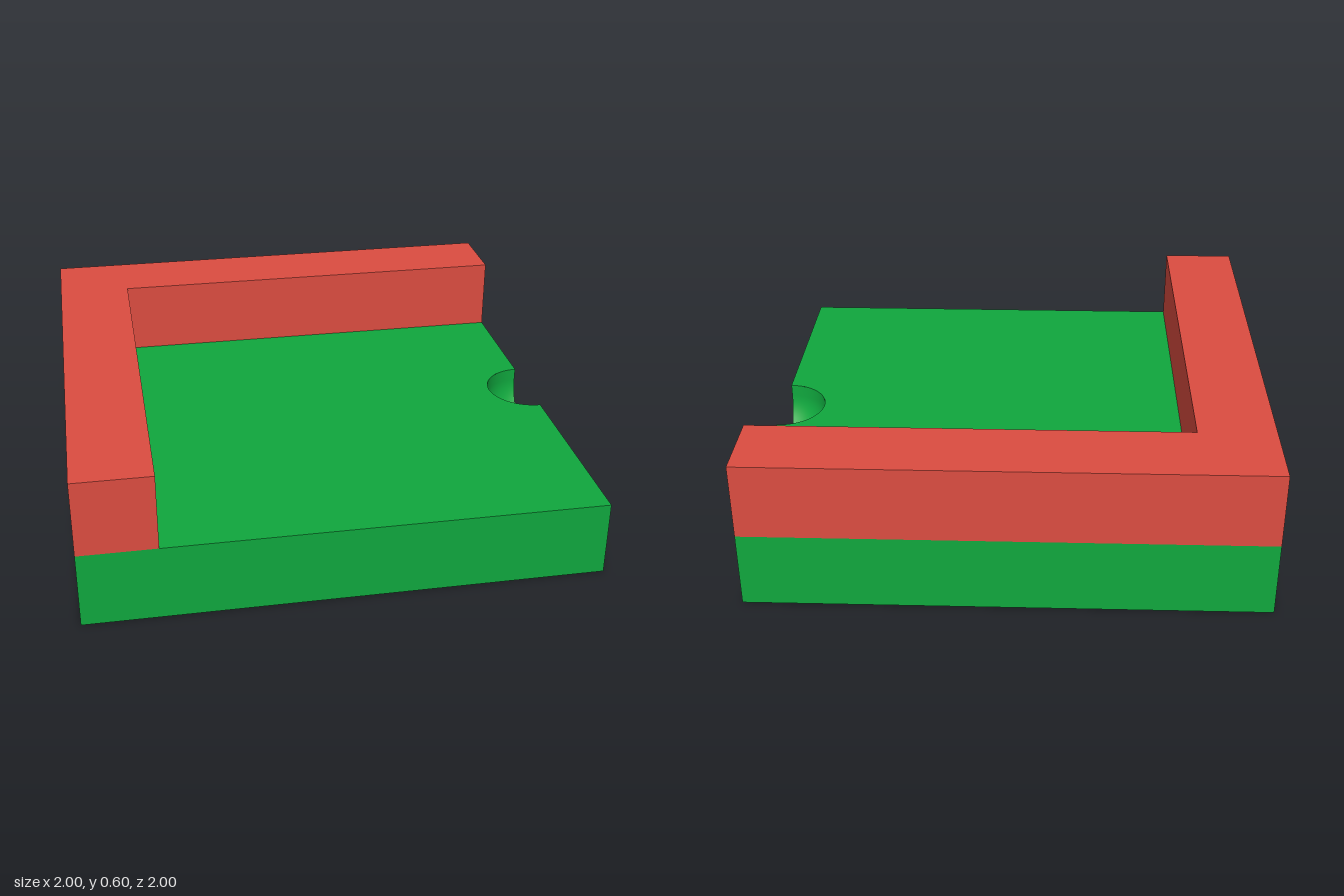
import * as THREE from 'three';
import { mergeGeometries } from 'three/addons/utils/BufferGeometryUtils.js';

const SLAB_H = 0.3, TOTAL_H = 0.6, WALL_T = 0.3;
const R = 0.175, CENTRE_Y = 0.25; // round-bottomed notch

// Box without its +x and +y faces, which carry the notch
function openSlabBox() {
  const g = new THREE.BoxGeometry(2, SLAB_H, 2).translate(0, SLAB_H / 2, 0);
  const index = Array.from(g.index.array);
  g.setIndex([...index.slice(6, 12), ...index.slice(18)]);
  return g;
}

// Top face with a half-round bite in its +x edge
function notchedTop() {
  const s = new THREE.Shape();
  s.moveTo(-1, -1).lineTo(1, -1).lineTo(1, -R);
  s.absarc(1, 0, R, -Math.PI / 2, Math.PI / 2, true);
  s.lineTo(1, 1).lineTo(-1, 1);
  return new THREE.ShapeGeometry(s, 32).rotateX(-Math.PI / 2).translate(0, SLAB_H, 0);
}

// Side face at x = 1 with a U-shaped bite in its top edge
function notchedSide() {
  const s = new THREE.Shape();
  s.moveTo(-1, 0).lineTo(1, 0).lineTo(1, SLAB_H).lineTo(R, SLAB_H).lineTo(R, CENTRE_Y);
  s.absarc(0, CENTRE_Y, R, 0, Math.PI, true);
  s.lineTo(-R, SLAB_H).lineTo(-1, SLAB_H);
  return new THREE.ShapeGeometry(s, 32).rotateY(Math.PI / 2).translate(1, 0, 0);
}

// Inside of the notch: a half lathe, profile drawn downwards so it faces inwards
function notchBowl() {
  const profile = [new THREE.Vector2(R, SLAB_H)];
  for (let i = 0; i <= 16; i++) {
    const a = (i / 16) * Math.PI / 2;
    profile.push(new THREE.Vector2(R * Math.cos(a), CENTRE_Y - R * Math.sin(a)));
  }
  return new THREE.LatheGeometry(profile, 32, Math.PI, Math.PI).translate(1, 0, 0);
}

// L-shaped wall along the back and the -x side
function cornerWallGeometry() {
  const inner = -1 + WALL_T;
  const s = new THREE.Shape();
  s.moveTo(-1, -1).lineTo(inner, -1).lineTo(inner, 1 - WALL_T);
  s.lineTo(1, 1 - WALL_T).lineTo(1, 1).lineTo(-1, 1);
  return new THREE.ExtrudeGeometry(s, { depth: TOTAL_H - SLAB_H, bevelEnabled: false })
    .rotateX(-Math.PI / 2).translate(0, SLAB_H, 0);
}

export function createModel() {
  const group = new THREE.Group();
  group.name = 'cornerTile';
  const add = (name, geometry, color) => {
    const mesh = new THREE.Mesh(geometry, new THREE.MeshStandardMaterial({ color }));
    mesh.name = name;
    group.add(mesh);
  };
  add('baseSlab', mergeGeometries([openSlabBox(), notchedTop(), notchedSide(), notchBowl()]), 0x10a83e);
  add('cornerWall', cornerWallGeometry(), 0xdd4d41);
  return group;
}
